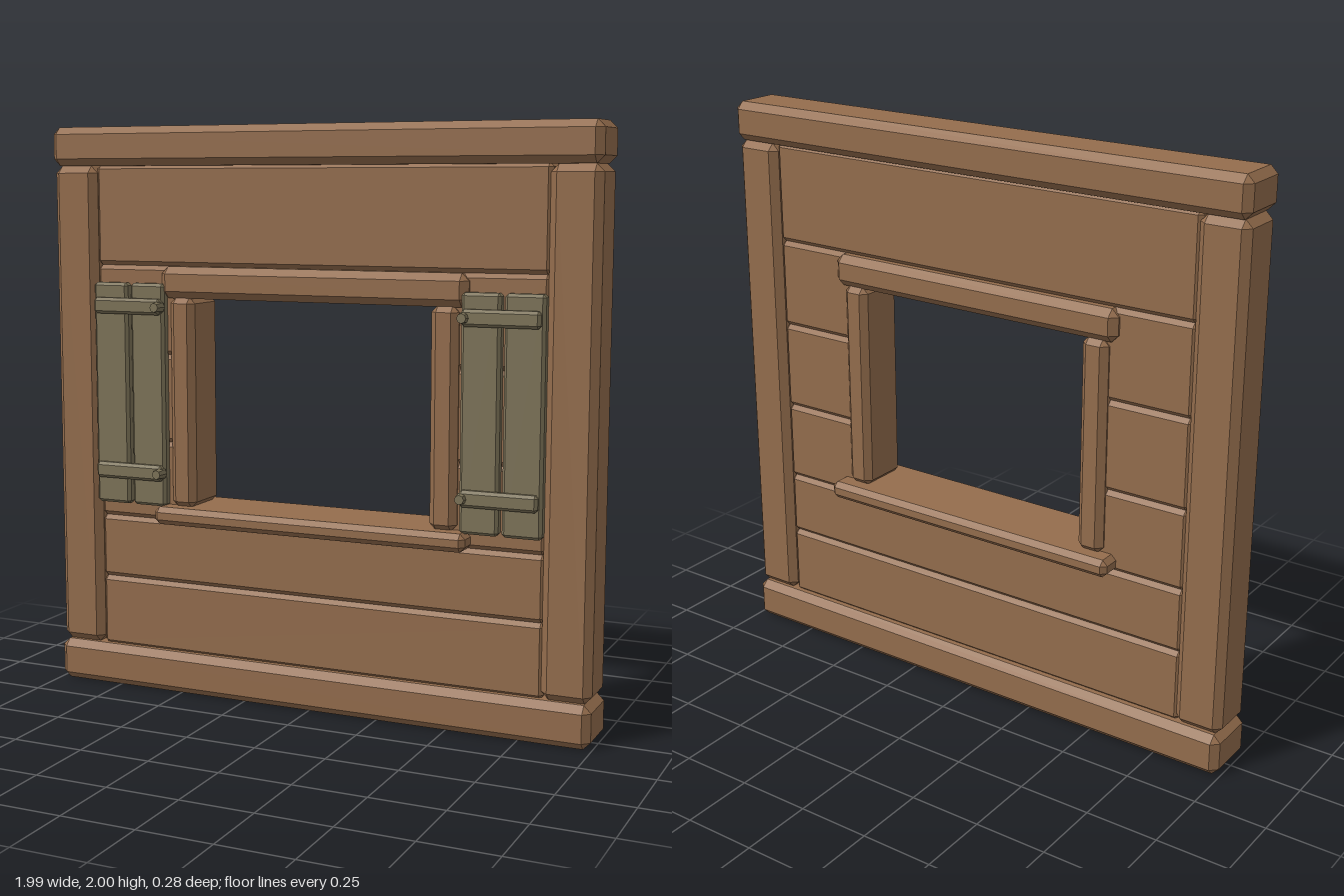
import * as THREE from 'three';
import { ConvexGeometry } from 'three/addons/geometries/ConvexGeometry.js';

const wood = new THREE.MeshStandardMaterial({ color: 0x946d4d });
wood.name = 'brown wood';
const shutterWood = new THREE.MeshStandardMaterial({ color: 0x7d7358 });
shutterWood.name = 'weathered green wood';

// Box with every edge and corner chamfered by b, given by its extents
function beam(name, [x0, x1], [y0, y1], [z0, z1], b, material = wood) {
  const half = [(x1 - x0) / 2, (y1 - y0) / 2, (z1 - z0) / 2];
  const points = [];
  for (let axis = 0; axis < 3; axis++) {
    for (const sx of [-1, 1]) for (const sy of [-1, 1]) for (const sz of [-1, 1]) {
      const p = [sx, sy, sz].map((s, i) => s * (half[i] - (i === axis ? 0 : b)));
      points.push(new THREE.Vector3(...p));
    }
  }
  const mesh = new THREE.Mesh(new ConvexGeometry(points), material);
  mesh.name = name;
  mesh.position.set((x0 + x1) / 2, (y0 + y1) / 2, (z0 + z1) / 2);
  return mesh;
}

// Extents along x, mirrored when side is -1
const span = (side, a, b) => (side > 0 ? [a, b] : [-b, -a]);

function createShutter(side) {
  const shutter = new THREE.Group();
  shutter.name = side > 0 ? 'leftShutter' : 'rightShutter';
  // Two upright boards
  for (const [a, b] of [[0.545, 0.678], [0.69, 0.825]]) {
    shutter.add(beam('shutterBoard', span(side, a, b), [0.675, 1.46], [0.06, 0.102], 0.01, shutterWood));
  }
  // Cross battens with a hinge knob at the inner end
  for (const y of [0.795, 1.38]) {
    shutter.add(beam('shutterBatten', span(side, 0.55, 0.815), [y - 0.028, y + 0.028], [0.09, 0.124], 0.01, shutterWood));
    const knob = new THREE.Mesh(new THREE.CylinderGeometry(0.016, 0.022, 0.04, 8).toNonIndexed(), shutterWood);
    knob.geometry.computeVertexNormals();
    knob.name = 'hingeKnob';
    knob.rotation.x = Math.PI / 2;
    knob.position.set(side * 0.56, y, 0.122);
    shutter.add(knob);
  }
  return shutter;
}

export function createModel() {
  const model = new THREE.Group();
  model.name = 'windowWall';

  // Heavy outer frame
  model.add(beam('topBeam', [-0.995, 0.995], [1.865, 2], [-0.1, 0.1], 0.025));
  model.add(beam('bottomBeam', [-0.995, 0.995], [0, 0.147], [-0.104, 0.104], 0.025));

  // Full width planks above and below the window
  for (const y of [[0.14, 0.395], [0.395, 0.62], [1.52, 1.87]]) {
    model.add(beam('wallPlank', [-0.83, 0.83], y, [-0.068, 0.068], 0.015));
  }

  for (const side of [-1, 1]) {
    const label = side > 0 ? 'left' : 'right';
    model.add(beam(label + 'Post', span(side, 0.823, 0.993), [0.147, 1.865], [-0.09, 0.09], 0.025));
    // Short planks beside the window
    for (const y of [[0.62, 0.9], [0.9, 1.21], [1.21, 1.52]]) {
      model.add(beam(label + 'SidePlank', span(side, 0.47, 0.83), y, [-0.068, 0.068], 0.015));
    }
    model.add(beam(label + 'WindowJamb', span(side, 0.435, 0.53), [0.675, 1.415], [-0.095, 0.095], 0.022));
    model.add(createShutter(side));
  }

  // Lintel and projecting sill
  model.add(beam('windowLintel', [-0.563, 0.563], [1.41, 1.52], [-0.1, 0.1], 0.025));
  model.add(beam('windowSill', [-0.576, 0.576], [0.618, 0.68], [-0.14, 0.14], 0.018));

  return model;
}
